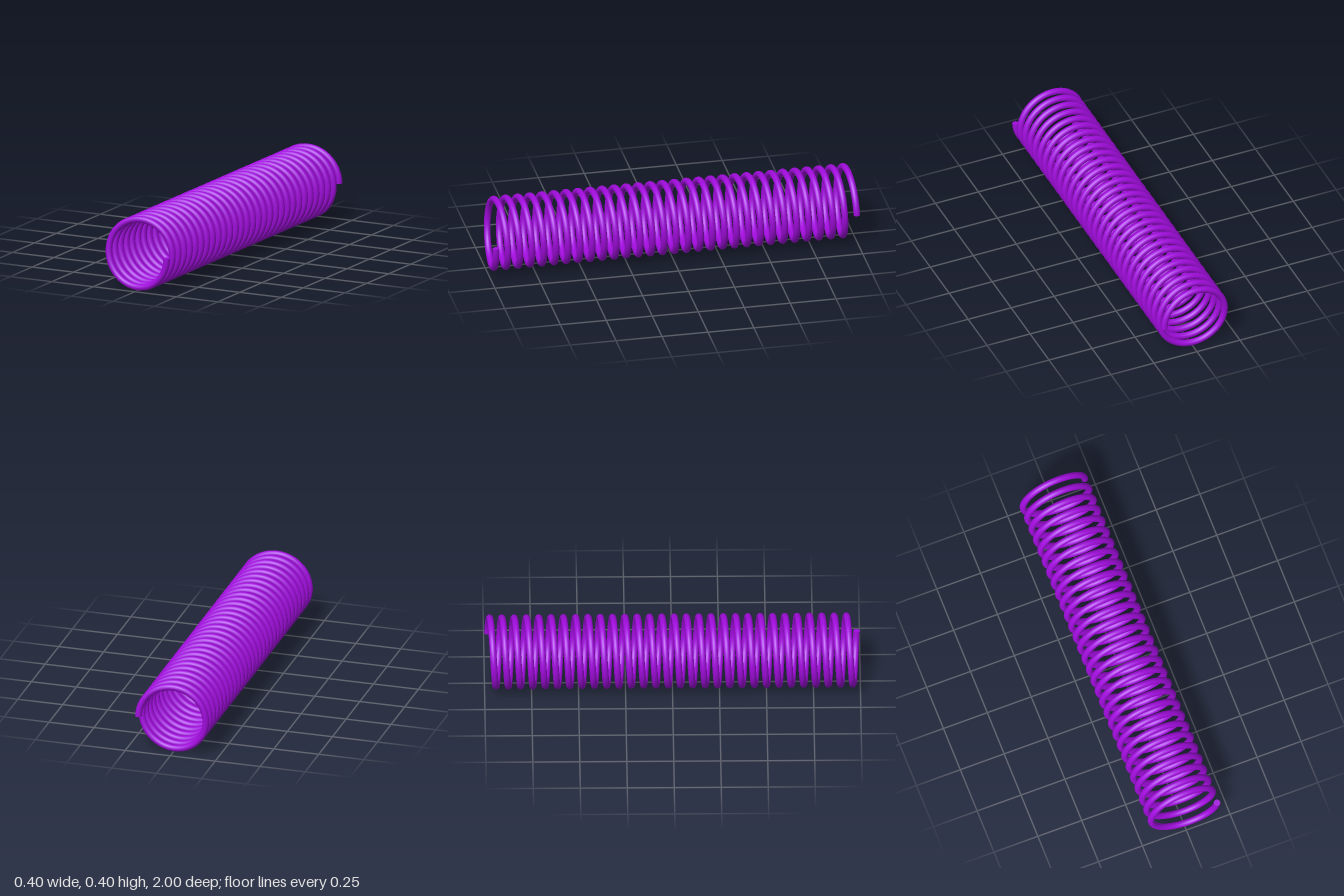
import * as THREE from 'three';

const TURNS = 30;
const WIRE = 0.0178;            // wire radius
const COIL = 0.2 - WIRE;        // radius of the wire's centre line
const HALF = 1 - WIRE;          // half length of the centre line

// Centre line: starts at the front on +x, first runs down, ends at the back on +x
class Helix extends THREE.Curve {
  getPoint(t, target = new THREE.Vector3()) {
    const a = t * TURNS * Math.PI * 2;
    return target.set(COIL * Math.cos(a), 0.2 - COIL * Math.sin(a), HALF * (1 - 2 * t));
  }
}

export function createModel() {
  const group = new THREE.Group();
  group.name = 'coilSpring';
  const material = new THREE.MeshStandardMaterial({ color: 0xa00cdc });

  // Coiled wire
  const helix = new Helix();
  helix.arcLengthDivisions = TURNS * 40;
  const coil = new THREE.Mesh(new THREE.TubeGeometry(helix, TURNS * 72, WIRE, 16), material);
  coil.name = 'coil';
  group.add(coil);

  // Flat cut ends of the wire
  for (const [t, sign, name] of [[0, -1, 'frontWireEnd'], [1, 1, 'backWireEnd']]) {
    const cap = new THREE.Mesh(new THREE.CircleGeometry(WIRE, 16), material);
    const outward = helix.getTangent(t).multiplyScalar(sign);
    cap.quaternion.setFromUnitVectors(new THREE.Vector3(0, 0, 1), outward);
    cap.position.copy(helix.getPoint(t));
    cap.name = name;
    group.add(cap);
  }
  return group;
}
